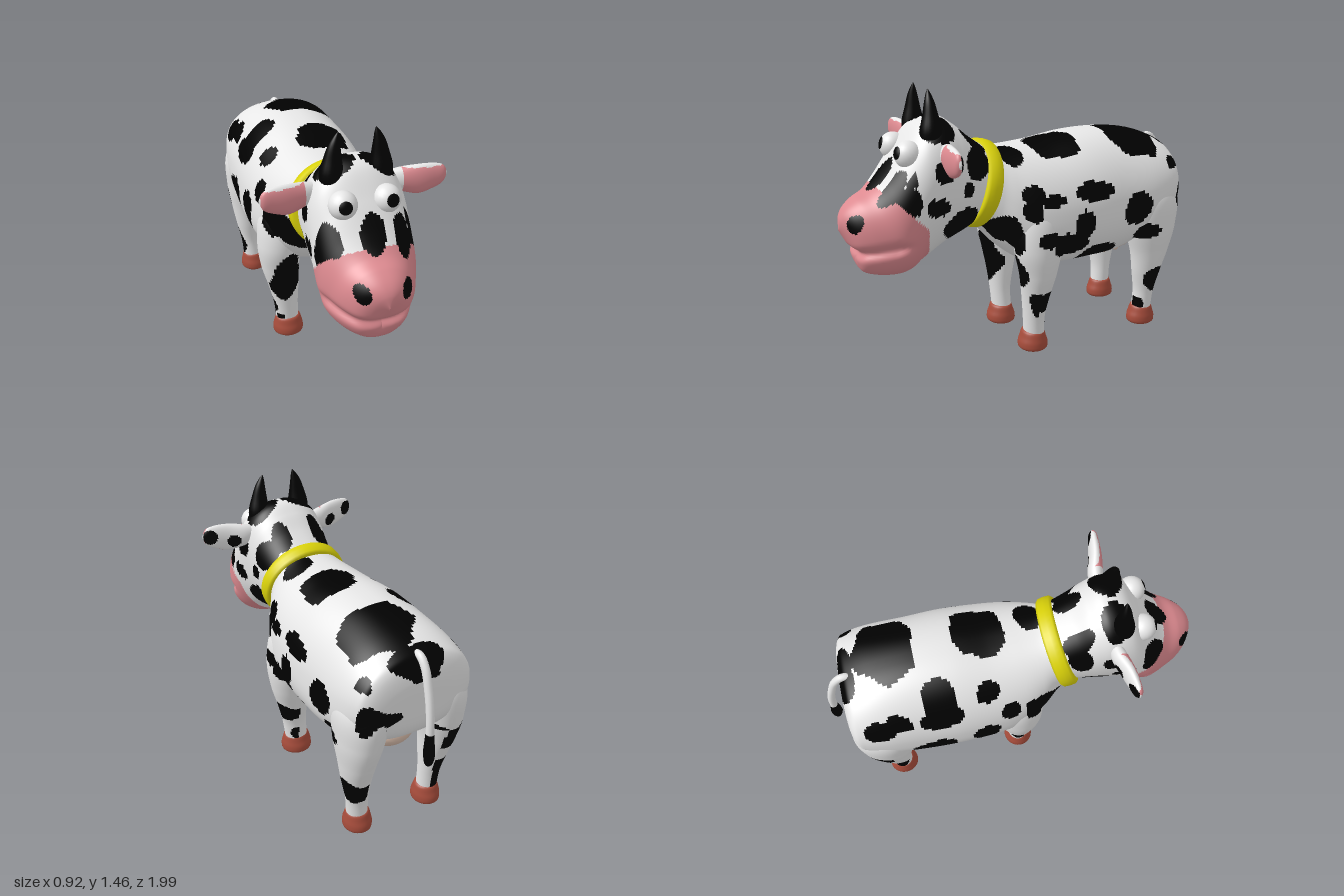
import * as THREE from 'three';

const mat = (name, color) => {
  const m = new THREE.MeshStandardMaterial({ color });
  m.name = name;
  return m;
};

// Smooth curve through the section parameters
const spline = (a, b, c, d, t) =>
  b + 0.5 * t * (c - a + t * (2 * a - 5 * b + 4 * c - d + t * (3 * (b - c) + d - a)));

// Skin a list of sections; point(params, cos, sin) places one ring vertex
function loft(sections, point, rows, cols) {
  const pos = [], index = [], last = sections.length - 1;
  for (let i = 0; i <= rows; i++) {
    const f = (i / rows) * last, k = Math.min(Math.floor(f), last - 1);
    const s = (n) => sections[Math.max(0, Math.min(last, n))];
    const p = s(k).map((v, q) => spline(s(k - 1)[q], v, s(k + 1)[q], s(k + 2)[q], f - k));
    for (let j = 0; j < cols; j++) {
      const a = (j / cols) * Math.PI * 2;
      pos.push(...point(p, Math.cos(a), Math.sin(a)));
      if (i === rows) continue;
      const u = i * cols + j, v = i * cols + ((j + 1) % cols);
      index.push(u, u + cols, v, v, u + cols, v + cols);
    }
  }
  const g = new THREE.BufferGeometry();
  g.setAttribute('position', new THREE.Float32BufferAttribute(pos, 3));
  g.setIndex(index);
  g.computeVertexNormals();
  return g;
}

// Sort the quads of a loft into one geometry group per material
function paint(g, rule) {
  const bins = [[], [], []], P = g.attributes.position, I = g.index.array;
  const c = new THREE.Vector3(), v = new THREE.Vector3();
  for (let i = 0; i < I.length; i += 6) {
    const quad = I.slice(i, i + 6);
    c.set(0, 0, 0);
    quad.forEach((n) => c.addScaledVector(v.fromBufferAttribute(P, n), 1 / 6));
    bins[rule(c)].push(...quad);
  }
  g.setIndex(bins.flat());
  let start = 0;
  bins.forEach((b, k) => { g.addGroup(start, b.length, k); start += b.length; });
  return g;
}

// Torso, neck, head and muzzle: zTop, yTop, zBottom, yBottom, half width, bottom heaviness
const bodySections = [
  [-.88, .85, -.88, .78, 0, 0], [-.875, .94, -.875, .69, .2, .02], [-.85, 1.03, -.85, .63, .29, .05],
  [-.8, 1.07, -.8, .59, .32, .08], [-.68, 1.11, -.68, .52, .34, .12], [-.5, 1.135, -.5, .45, .345, .14],
  [-.3, 1.135, -.3, .44, .35, .14], [-.1, 1.112, -.1, .445, .34, .14], [.04, 1.105, .04, .48, .315, .14],
  [.13, 1.105, .15, .56, .27, .1], [.18, 1.11, .24, .66, .225, .03], [.22, 1.12, .315, .725, .205, 0],
  [.32, 1.19, .4, .69, .215, -.03], [.4, 1.26, .5, .645, .23, -.06], [.48, 1.305, .57, .6, .238, -.09],
  [.58, 1.28, .62, .57, .24, -.08], [.68, 1.16, .66, .545, .24, -.03], [.77, 1.04, .71, .532, .234, 0],
  [.84, .97, .77, .53, .208, .02], [.91, .935, .84, .54, .172, .03], [.962, .895, .895, .56, .128, .02],
  [.99, .85, .917, .595, .075, 0], [.998, .79, .925, .64, 0, 0],
];
const signedPow = (v, e) => Math.sign(v) * Math.abs(v) ** e;
const bodyPoint = ([zt, yt, zb, yb, w, egg], c, s) => {
  const h = signedPow(c, .88) / 2;
  const x = w * signedPow(s, .85) * (1 - egg * c), y = (yt + yb) / 2 + (yt - yb) * h, z = (zt + zb) / 2 + (zt - zb) * h;
  // Smiling mouth crease pressed into the muzzle
  const crease = Math.exp(-(((y - .672 - .9 * x * x) / .026) ** 2)) * THREE.MathUtils.smoothstep(z, .64, .8);
  return [x * (1 - .08 * crease), y, z - .032 * crease];
};

// Coat patches. Sides: z, y, rz, ry
const leftSpots = [
  [-.28, .89, .11, .05], [.07, .9, .06, .04], [-.03, .86, .08, .03], [-.2, .71, .06, .08], [0, .66, .06, .04],
  [-.12, .61, .1, .07], [-.55, .75, .1, .08], [-.63, .6, .09, .045], [-.33, .52, .11, .07], [0, .3, .06, .065],
  [-.72, .29, .07, .09], [-.05, .13, .03, .05], [-.85, .79, .028, .08], [.21, .72, .09, .08], [.43, .78, .1, .09],
  [.33, 1.07, .07, .08], [.56, .9, .06, .05], [.71, .95, .06, .07], [.52, 1.07, .06, .06], [.4, .96, .03, .04],
  [-.64, .12, .03, .04], [-.16, 1.09, .11, .04],
];
const rightSpots = [
  [-.72, .95, .08, .06], [-.4, .96, .1, .07], [-.46, .68, .11, .1], [-.18, .72, .07, .11], [-.05, .88, .05, .06],
  [-.15, 1.03, .06, .04], [-.78, .5, .08, .1], [-.73, .2, .08, .11], [0, .2, .05, .06], [-.25, .52, .09, .06],
  [.2, .75, .07, .09], [.43, .8, .09, .08], [.33, 1.06, .06, .08], [.56, .9, .06, .05], [.71, .95, .05, .07],
  [.5, 1.06, .06, .06],
];
// Back and crown: x, z, rx, rz
const topSpots = [
  [.07, -.61, .19, .16], [.06, -.14, .15, .13], [-.24, -.4, .11, .09], [-.3, -.62, .05, .07], [0, -.83, .14, .05],
  [.3, -.82, .05, .05], [.1, .12, .1, .06], [-.12, .33, .05, .07], [.1, .33, .05, .07], [-.1, .51, .085, .08],
  [.11, .51, .085, .08],
];
// Face, then chest and forelegs: x, y, rx, ry
const faceSpots = [
  [0, 1.04, .058, .085], [-.19, 1.01, .045, .07], [.145, 1, .045, .075], [-.105, .845, .035, .045],
  [.105, .845, .035, .045], [.21, 1.05, .025, .05], [.2, 1.19, .03, .03],
];
const chestSpots = [
  [-.21, .4, .08, .16], [.2, .47, .075, .1], [.24, .65, .055, .07], [-.28, .8, .05, .1], [.31, .84, .03, .08],
  [.29, .27, .035, .08], [-.25, .12, .03, .02],
];
const inSpots = (spots, u, v) => spots.some(([a, b, ra, rb]) => {
  const wobble = .17 * Math.sin(u * 29 + a * 31 + v * 11) + .17 * Math.sin(v * 33 + b * 17 - u * 9);
  return ((u - a) / ra) ** 2 + ((v - b) / rb) ** 2 < 1 + wobble;
});

// 0 white, 1 black, 2 pink
function coat(p) {
  if (p.z > .66 && inSpots(faceSpots, p.x, p.y)) return 1;
  if (p.y < 1 && p.z > Math.max(.58 + (p.y - .59) * .19, p.y - .18)) return 2;
  if (p.z > .03 && p.z < .25 && inSpots(chestSpots, p.x, p.y)) return 1;
  if (p.y > .93 + Math.max(0, p.z) * .45 && inSpots(topSpots, p.x, p.z)) return 1;
  // Leg patches stay on the outer half of each leg
  if (Math.abs(p.x) < (p.y < .55 && p.z < .15 ? .2 : .1)) return 0;
  return inSpots(p.x > 0 ? leftSpots : rightSpots, p.z, p.y) ? 1 : 0;
}

// Ear: pink hollow in front, dark patches behind
function earCoat({ x, y, z }) {
  const ax = Math.abs(x);
  if (z > .505 + (Math.min(ax, .42) - .24) * .2) return ax > .242 && ax < .454 && y < 1.211 ? 2 : 0;
  return ((ax - .425) / .04) ** 2 + ((y - 1.165) / .04) ** 2 < 1 || ((ax - .3) / .035) ** 2 + ((y - 1.13) / .035) ** 2 < 1 ? 1 : 0;
}

export function createModel() {
  const root = new THREE.Group();
  root.name = 'cow';
  const white = mat('coat white', 0xe8e8e8), black = mat('coat black', 0x010101), pink = mat('skin pink', 0xdd8a90);
  const hoofRed = mat('hoof red brown', 0xa64c3b), yellow = mat('collar yellow', 0xdad20a), beige = mat('udder beige', 0xdcc0ae);
  const coatMats = [white, black, pink];
  const add = (name, geometry, material) => {
    const m = new THREE.Mesh(geometry, material);
    m.name = name;
    root.add(m);
    return m;
  };

  add('body', paint(loft(bodySections, bodyPoint, 352, 120), coat), coatMats);

  // Rings stacked upward: y, x, z, rx, rz
  const frontLeg = [[.09, .192, .015, .064, .055], [.2, .2, .02, .068, .058], [.32, .21, .015, .085, .075],
    [.45, .225, .01, .105, .1], [.6, .225, .01, .12, .13], [.78, .2, 0, .12, .13], [.95, .15, 0, .06, .08]];
  const hindLeg = [[.09, .215, -.69, .055, .055], [.2, .22, -.695, .06, .058], [.33, .23, -.7, .075, .085],
    [.45, .235, -.71, .09, .115], [.6, .23, -.71, .115, .155], [.78, .21, -.7, .13, .175], [.95, .15, -.68, .09, .11]];
  const hoof = [[0, 0, 0, 0, 0], [.002, 0, 0, .076, .072], [.035, 0, 0, .085, .081], [.07, 0, 0, .078, .07],
    [.1, 0, 0, .068, .06], [.108, 0, 0, .05, .045]];
  const horn = [[1.19, .115, .545, .06, .06], [1.26, .12, .545, .056, .055], [1.33, .115, .545, .042, .038],
    [1.39, .108, .545, .028, .025], [1.43, .098, .545, .014, .012], [1.455, .09, .545, 0, 0]];
  // Rings stacked outward: x, y, z, ry, rz
  const ear = [[.17, 1.15, .5, .045, .03], [.24, 1.148, .51, .062, .04], [.32, 1.146, .53, .076, .035],
    [.39, 1.156, .54, .066, .028], [.44, 1.163, .545, .045, .02], [.462, 1.166, .545, 0, 0]];

  for (const side of [1, -1]) {
    const label = side > 0 ? 'left' : 'right';
    const stack = ([y, x, z, rx, rz], c, s) => [side * x + rx * c, y, z + rz * s];
    add(label + 'FrontLeg', paint(loft(frontLeg, stack, 84, 44), coat), coatMats);
    add(label + 'HindLeg', paint(loft(hindLeg, stack, 84, 44), coat), coatMats);
    add(label + 'FrontHoof', loft(hoof, stack, 20, 24), hoofRed).position.set(side * .19, 0, .02);
    const hind = add(label + 'HindHoof', loft(hoof, stack, 20, 24), hoofRed);
    hind.position.set(side * .212, 0, -.69);
    hind.scale.x = .88;
    add(label + 'Horn', loft(horn, stack, 24, 20), black);

    const outward = ([x, y, z, ry, rz], c, s) => [side * x, y + ry * c, z - side * rz * s];
    add(label + 'Ear', paint(loft(ear, outward, 50, 48), earCoat), coatMats);

    // Bulging eye with a thin pupil cap
    const eye = new THREE.Group();
    eye.name = label + 'Eye';
    const ball = new THREE.Mesh(new THREE.SphereGeometry(.068, 24, 16), white);
    ball.name = 'eyeball';
    const pupil = new THREE.Mesh(new THREE.SphereGeometry(.07, 20, 5, 0, Math.PI * 2, 0, .47), black);
    pupil.name = 'pupil';
    pupil.quaternion.setFromUnitVectors(new THREE.Vector3(0, 1, 0), new THREE.Vector3(side * .12, .27, .955).normalize());
    eye.add(ball, pupil);
    eye.position.set(side * .105, 1.148, .662);
    root.add(eye);
  }

  // Tilted collar band
  const band = [[.19, -.042], [.228, -.042], [.24, -.03], [.243, 0], [.24, .03], [.228, .042], [.19, .042]];
  const collar = add('collar', new THREE.LatheGeometry(band.map(([r, y]) => new THREE.Vector2(r, y)), 48), yellow);
  collar.scale.set(1, 1, .955);
  collar.rotation.x = 1.297;
  collar.position.set(0, .924, .264);

  // Tail and tuft
  const path = [[1.02, -.76], [1.05, -.84], [1.01, -.885], [.9, -.925], [.78, -.95], [.66, -.96]];
  const curve = new THREE.CatmullRomCurve3(path.map(([y, z]) => new THREE.Vector3(0, y, z)));
  add('tail', new THREE.TubeGeometry(curve, 32, .02, 12), white);
  const tuft = [[.5, 0, -.965, 0, 0], [.52, 0, -.965, .02, .018], [.57, 0, -.963, .026, .031],
    [.63, 0, -.96, .024, .026], [.69, 0, -.958, .021, .021]];
  add('tailTuft', loft(tuft, ([y, x, z, rx, rz], c, s) => [x + rx * c, y, z + rz * s], 20, 16), black);

  // Udder with four small teats
  const blob = (rx, ry, rz, x, y, z) => new THREE.SphereGeometry(1, 28, 18).scale(rx, ry, rz).translate(x, y, z);
  add('udder', blob(.15, .1, .15, 0, .51, -.59), beige);
  for (const x of [-.05, .05]) for (const z of [-.61, -.53])
    add('teat', blob(.018, .022, .018, x, .42, z), beige);

  return root;
}
